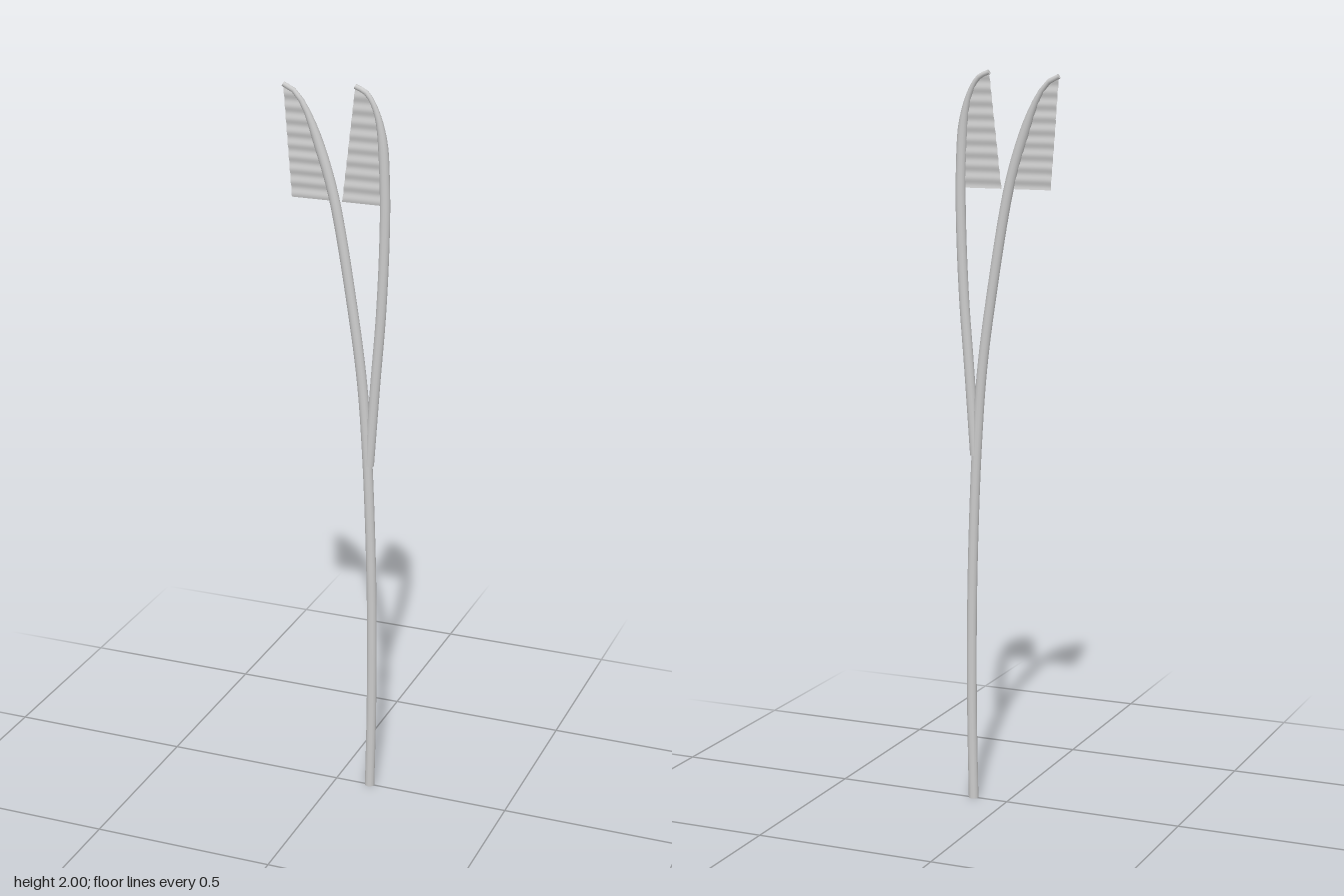
import * as THREE from 'three';

const material = new THREE.MeshStandardMaterial({ color: 0xcccccc });
const sheetMaterial = new THREE.MeshStandardMaterial({ color: 0xcccccc, side: THREE.DoubleSide });

const makeCurve = (points) =>
  new THREE.CatmullRomCurve3(points.map(([x, y]) => new THREE.Vector3(x, y, 0)), false, 'centripetal');

// Round stem along a curve, thinning towards its upper end, with closed ends
function makeStem(name, curve) {
  const segments = 64, sides = 12, radius = 0.0135;
  const group = new THREE.Group();
  group.name = name;
  const geometry = new THREE.TubeGeometry(curve, segments, radius, sides, false);
  const pos = geometry.attributes.position;
  const p = new THREE.Vector3();
  const radiusScale = (y) => 1 - 0.5 * THREE.MathUtils.smoothstep(y, 1.82, 1.97);
  for (let i = 0; i <= segments; i++) {
    const centre = curve.getPointAt(i / segments);
    for (let j = 0; j <= sides; j++) {
      const k = i * (sides + 1) + j;
      p.fromBufferAttribute(pos, k).sub(centre).multiplyScalar(radiusScale(centre.y)).add(centre);
      pos.setXYZ(k, p.x, p.y, p.z);
    }
  }
  const tube = new THREE.Mesh(geometry, material);
  tube.name = 'stemTube';
  group.add(tube);
  for (const t of [0, 1]) {
    const centre = curve.getPointAt(t);
    const outward = curve.getTangentAt(t).multiplyScalar(t ? 1 : -1);
    const cap = new THREE.Mesh(new THREE.CircleGeometry(radius * radiusScale(centre.y), sides), material);
    cap.position.copy(centre);
    cap.quaternion.setFromUnitVectors(new THREE.Vector3(0, 0, 1), outward);
    cap.name = 'stemEnd';
    group.add(cap);
  }
  return group;
}

// Point of a rising curve at a given height
function pointAtHeight(curve, y) {
  let low = 0, high = 1;
  for (let i = 0; i < 30; i++) {
    const mid = (low + high) / 2;
    if (curve.getPoint(mid).y < y) low = mid; else high = mid;
  }
  return curve.getPoint(low);
}

// Thin, finely rippled sheet between the bent stem end and a straight free edge
function makeSheet(name, curve, cornerX) {
  const rows = 72, columns = 6, bottom = 1.69;
  const tip = curve.getPoint(1);
  const geometry = new THREE.PlaneGeometry(1, 1, columns, rows);
  const pos = geometry.attributes.position;
  for (let r = 0; r <= rows; r++) {
    const t = 1 - r / rows;
    const y = THREE.MathUtils.lerp(bottom, tip.y, t);
    const inner = pointAtHeight(curve, y).x;
    const outer = THREE.MathUtils.lerp(cornerX, tip.x, t);
    const z = 0.0015 * Math.sin(t * 9 * Math.PI * 2);
    for (let c = 0; c <= columns; c++) {
      pos.setXYZ(r * (columns + 1) + c, THREE.MathUtils.lerp(outer, inner, c / columns), y, z);
    }
  }
  geometry.computeVertexNormals();
  const mesh = new THREE.Mesh(geometry, sheetMaterial);
  mesh.name = name;
  return mesh;
}

export function createModel() {
  const model = new THREE.Group();
  model.name = 'forkedPole';

  // Main stem, from the ground to the right-hand tip
  const mainCurve = makeCurve([
    [0.1, 0], [0.104, 0.25], [0.103, 0.55], [0.097, 0.78], [0.087, 1], [0.072, 1.2],
    [0.045, 1.4], [-0.008, 1.7], [-0.047, 1.83], [-0.085, 1.925], [-0.115, 1.968], [-0.147, 1.985],
  ]);
  // Branch that splits off halfway up
  const branchCurve = makeCurve([
    [0.093, 0.97], [0.109, 1.2], [0.124, 1.4], [0.132, 1.6], [0.132, 1.73],
    [0.123, 1.87], [0.105, 1.94], [0.08, 1.98], [0.05, 1.994],
  ]);

  model.add(
    makeStem('mainStem', mainCurve),
    makeStem('branchStem', branchCurve),
    makeSheet('mainSheet', mainCurve, -0.125),
    makeSheet('branchSheet', branchCurve, 0.015),
  );
  return model;
}
